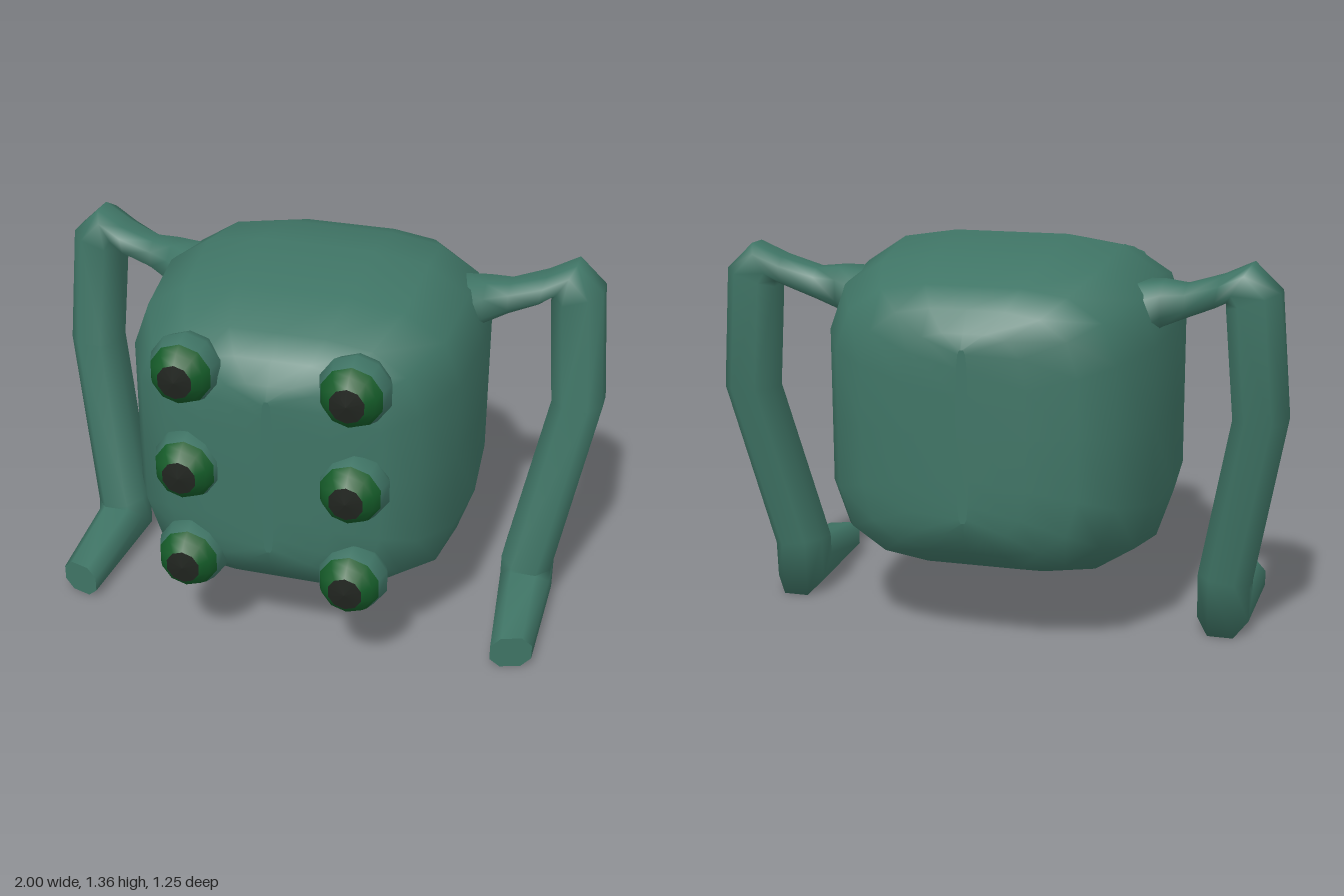
import * as THREE from 'three';

const skin = new THREE.MeshStandardMaterial({ color: 0x3f7465 });
const green = new THREE.MeshStandardMaterial({ color: 0x145a28 });
const black = new THREE.MeshStandardMaterial({ color: 0x20241f });

// Skin an outline over stations [centre, u, v]; u x v points along the travel.
function loft(stations, outline, mirrored = false) {
  const n = outline.length, pos = [], idx = [];
  const rings = stations.map(([c, u, v]) => outline.map(([a, b]) =>
    [0, 1, 2].map(k => c[k] + a * u[k] + b * v[k])));
  rings.forEach(r => r.forEach(p => pos.push(...p)));
  for (let i = 0; i < rings.length - 1; i++) {
    for (let j = 0; j < n; j++) {
      const a = i * n + j, b = i * n + (j + 1) % n;
      idx.push(a, b, b + n, a, b + n, a + n);
    }
  }
  // separate end caps keep their edges sharp
  [0, rings.length - 1].forEach((r, end) => {
    const base = pos.length / 3;
    rings[r].forEach(p => pos.push(...p));
    for (let j = 1; j < n - 1; j++) {
      if (end) idx.push(base, base + j, base + j + 1);
      else idx.push(base, base + j + 1, base + j);
    }
  });
  if (mirrored) {
    for (let i = 0; i < pos.length; i += 3) pos[i] *= -1;
    idx.reverse();
  }
  const g = new THREE.BufferGeometry();
  g.setAttribute('position', new THREE.Float32BufferAttribute(pos, 3));
  g.setIndex(idx);
  g.computeVertexNormals();
  return g;
}

function named(name, geometry, material) {
  const m = new THREE.Mesh(geometry, material);
  m.name = name;
  return m;
}

// Rounded-square body, closing to a short upright ridge front and back
function body() {
  const quarter = [[1, 0], [1, 0.5], [0.9, 0.79], [0.66, 0.95], [0.34, 1]];
  const outline = [];
  for (let q = 0; q < 4; q++) {
    for (const [x, y] of quarter) {
      // odd quarters run the same corner backwards
      const p = q % 2 ? null : [x, y];
      if (p) outline.push(q ? [-x, -y] : [x, y]);
    }
    if (q % 2) continue;
    const s = q ? -1 : 1;
    outline.push([0, s]);
    quarter.slice(1).reverse().forEach(([x, y]) => outline.push([-x * s, y * s]));
  }
  const half = [[0, 0.59, 0.59], [0.28, 0.57, 0.54], [0.46, 0.48, 0.475],
    [0.53, 0.37, 0.41], [0.575, 0.21, 0.34], [0.59, 0.02, 0.29]];
  const all = [...half.slice(1).reverse().map(([z, w, h]) => [-z, w, h]), ...half];
  return named('body', loft(all.map(([z, w, h]) =>
    [[0, 0.77, z - 0.04], [w, 0, 0], [0, h, 0]]), outline), skin);
}

// Limb: shoulder, elbow, long forearm, heel and forward foot
function limb(mirrored) {
  const octagon = [[1, -0.45], [1, 0.45], [0.5, 1], [-0.5, 1],
    [-1, 0.45], [-1, -0.45], [-0.5, -1], [0.5, -1]];
  const stations = [
    [[0.47, 1.12, -0.16], [0, 0.11, 0], [0, 0, 0.15]],
    [[0.57, 1.165, -0.185], [0, 0.075, 0], [0, 0, 0.09]],
    [[0.65, 1.18, -0.205], [0, 0.055, 0], [0, 0, 0.07]],
    [[0.76, 1.22, -0.22], [0.01, 0.052, 0], [0, 0, 0.088]],
    [[0.83, 1.255, -0.24], [0.04, 0.065, 0], [0, 0, 0.09]],
    [[0.8775, 1.2, -0.24], [0.0875, 0.03, 0], [0, 0, 0.092]],
    [[0.91, 0.8, -0.225], [0.09, 0, 0], [0, 0, 0.095]],
    [[0.79, 0.19, -0.1], [0.09, -0.015, 0], [0, -0.01, 0.098]],
    [[0.79, 0.087, -0.093], [0.09, 0, 0], [0, 0.087, 0.093]],
    [[0.81, 0.06, 0.32], [0.07, 0, -0.022], [0, 0.06, 0]],
  ];
  return named(mirrored ? 'rightLimb' : 'leftLimb', loft(stations, octagon, mirrored), skin);
}

// Eye turned around its forward axis in three coloured bands
function eye(x, y) {
  const band = (name, pts, mat) => named(name, new THREE.LatheGeometry(
    pts.map(p => new THREE.Vector2(...p)), 10).rotateX(Math.PI / 2), mat);
  const g = new THREE.Group();
  g.name = 'eye';
  g.add(
    band('eyeball', [[0, -0.115], [0.065, -0.1], [0.105, -0.055], [0.125, 0], [0.107, 0.052]], skin),
    band('iris', [[0.107, 0.052], [0.09, 0.085], [0.06, 0.112]], green),
    band('pupil', [[0.06, 0.112], [0, 0.12]], black));
  g.position.set(x, y, 0.505);
  return g;
}

export function createModel() {
  const model = new THREE.Group();
  model.name = 'creature';
  model.add(body(), limb(false), limb(true));
  for (const y of [0.41, 0.765, 1.125]) {
    for (const s of [-1, 1]) model.add(eye(s * 0.285, y));
  }
  return model;
}
